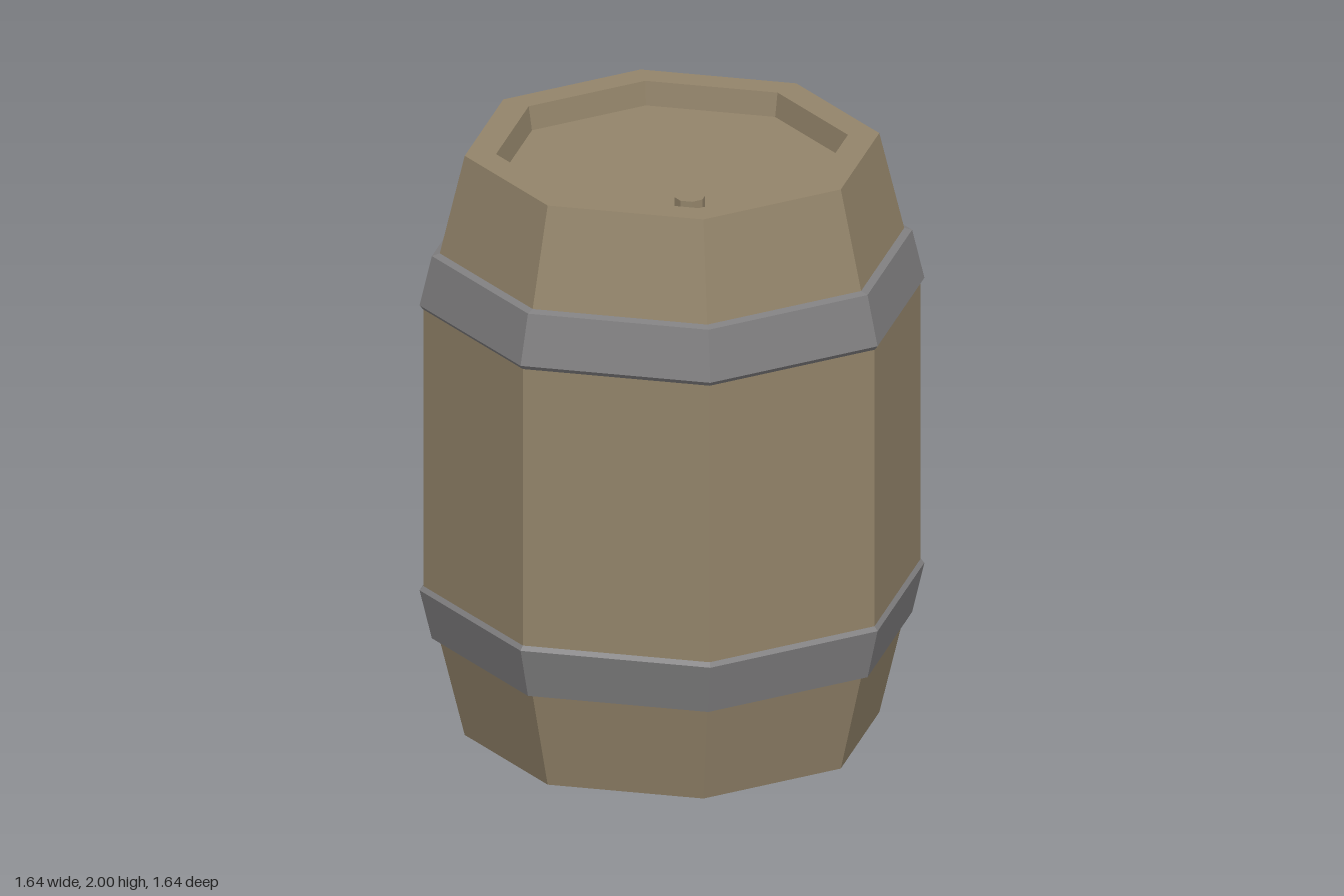
import * as THREE from 'three';

const SIDES = 8;

// Faceted eight-sided solid of revolution; the profile runs from bottom to top
function facetedLathe(profile) {
  const points = profile.map(([r, y]) => new THREE.Vector2(r, y));
  const geometry = new THREE.LatheGeometry(points, SIDES).toNonIndexed();
  geometry.computeVertexNormals();
  return geometry;
}

export function createModel() {
  const wood = new THREE.MeshStandardMaterial({ color: 0x93846a });
  wood.name = 'wood';
  const iron = new THREE.MeshStandardMaterial({ color: 0x807f80 });
  iron.name = 'iron';

  const barrel = new THREE.Group();
  barrel.name = 'barrel';

  function add(name, geometry, material) {
    const mesh = new THREE.Mesh(geometry, material);
    mesh.name = name;
    barrel.add(mesh);
    return mesh;
  }

  // Staves with a recessed head at each end
  add('staves', facetedLathe([
    [0.57, 0.13], [0.573, 0], [0.675, 0], [0.757, 0.335], [0.81, 0.51],
    [0.81, 1.49], [0.757, 1.665], [0.675, 2], [0.573, 2], [0.56, 1.92],
  ]), wood);
  add('bottomHead', facetedLathe([[0, 0.13], [0.57, 0.13]]), wood);
  add('topHead', facetedLathe([[0.56, 1.92], [0, 1.92]]), wood);

  // Bevelled hoops, mirrored about the middle of the barrel
  const hoop = [[0.75, 0.33], [0.782, 0.34], [0.822, 0.508], [0.808, 0.525]];
  add('lowerHoop', facetedLathe(hoop), iron);
  add('upperHoop', facetedLathe(hoop.map(([r, y]) => [r, 2 - y]).reverse()), iron);

  // Small bung near the front of the top head
  const bung = new THREE.CylinderGeometry(0.05, 0.05, 0.05, SIDES).toNonIndexed();
  bung.computeVertexNormals();
  add('bung', bung, wood).position.set(0, 1.943, 0.383);

  return barrel;
}
